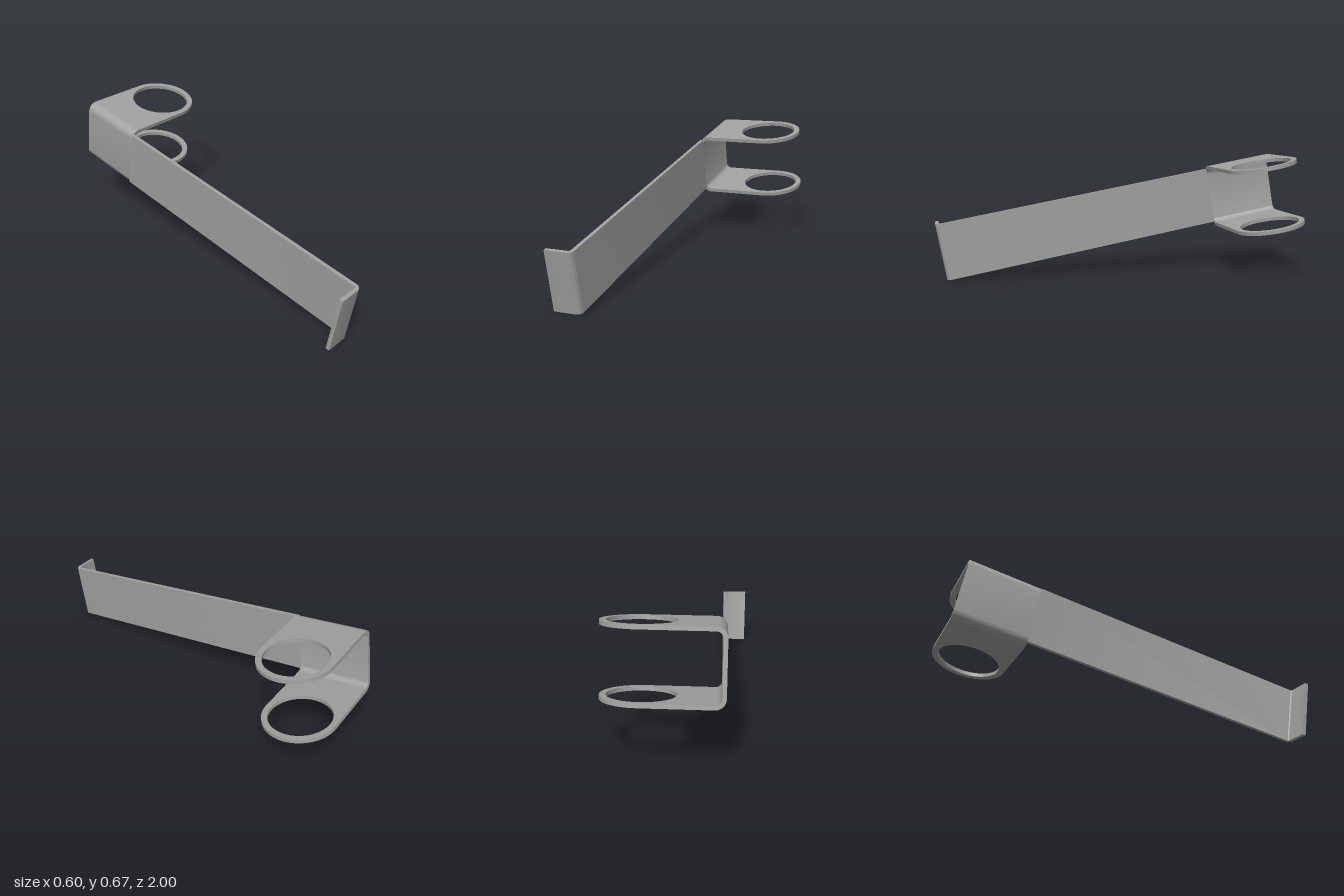
import * as THREE from 'three';
import { toCreasedNormals } from 'three/addons/utils/BufferGeometryUtils.js';

const T = 0.02;        // sheet thickness
const H = 0.316;       // strip height
const X0 = -0.379;     // outer face of the upright sheet
const R = 0.19;        // ring outer radius, half the flange width
const HOLE = 0.16;     // ring hole radius
const BEND = 0.05;     // outer radius of the flange bends
const FRONT = 1.761;   // front face of the foot
const FOOT_END = -0.503;

export function createModel() {
  const model = new THREE.Group();
  model.name = 'bracket';
  const steel = new THREE.MeshStandardMaterial({ color: 0xa0a0a0 });
  steel.name = 'grey steel';

  // Sheet metal body, built square and then tilted as a whole
  const body = new THREE.Group();
  body.name = 'bentSheet';
  body.position.set(0.11, 0.311, -0.809);
  body.rotation.set(THREE.MathUtils.degToRad(10), THREE.MathUtils.degToRad(3), 0);
  model.add(body);

  const extrude = (shape, depth, curveSegments) =>
    new THREE.ExtrudeGeometry(shape, { depth, curveSegments, bevelEnabled: false });
  const add = (geometry, name) => {
    const mesh = new THREE.Mesh(toCreasedNormals(geometry, 0.5), steel);
    mesh.name = name;
    body.add(mesh);
  };

  // Rear upright with a rounded bend at top and bottom
  const xb = X0 + BEND, ri = BEND - T, top = H + T, P = Math.PI;
  const channel = new THREE.Shape();
  channel.moveTo(xb, -T);
  channel.lineTo(xb, 0);
  channel.absarc(xb, ri, ri, -P / 2, -P, true);
  channel.lineTo(X0 + T, H - ri);
  channel.absarc(xb, H - ri, ri, P, P / 2, true);
  channel.lineTo(xb, top);
  channel.absarc(xb, top - BEND, BEND, P / 2, P, false);
  channel.lineTo(X0, BEND - T);
  channel.absarc(xb, BEND - T, BEND, P, P * 1.5, false);
  add(extrude(channel, 2 * R, 10).translate(0, 0, -R), 'rearUpright');

  // Upper and lower flanges, each ending in a ring
  const flange = new THREE.Shape();
  flange.moveTo(xb, -R);
  flange.lineTo(0, -R);
  flange.absarc(0, 0, R, -P / 2, P / 2, false);
  flange.lineTo(xb, R);
  flange.closePath();
  const hole = new THREE.Path();
  hole.absarc(0, 0, HOLE, 0, 2 * P, true);
  flange.holes.push(hole);
  for (const [name, y] of [['lowerRingFlange', -T], ['upperRingFlange', H]]) {
    add(extrude(flange, T, 48).rotateX(-P / 2).translate(0, y, 0), name);
  }

  // Long strip with the foot folded outward at the front (shape y is -z)
  const xi = X0 + T, ro = 0.03, rf = ro - T;
  const strip = new THREE.Shape();
  strip.moveTo(X0, -R);
  strip.lineTo(X0, -FRONT + ro);
  strip.absarc(xi - ro, -FRONT + ro, rf, 0, -P / 2, true);
  strip.lineTo(FOOT_END, -FRONT + T);
  strip.lineTo(FOOT_END, -FRONT);
  strip.lineTo(xi - ro, -FRONT);
  strip.absarc(xi - ro, -FRONT + ro, ro, -P / 2, 0, false);
  strip.lineTo(xi, -R);
  strip.closePath();
  add(extrude(strip, H, 10).rotateX(-P / 2), 'longStripAndFoot');

  return model;
}
